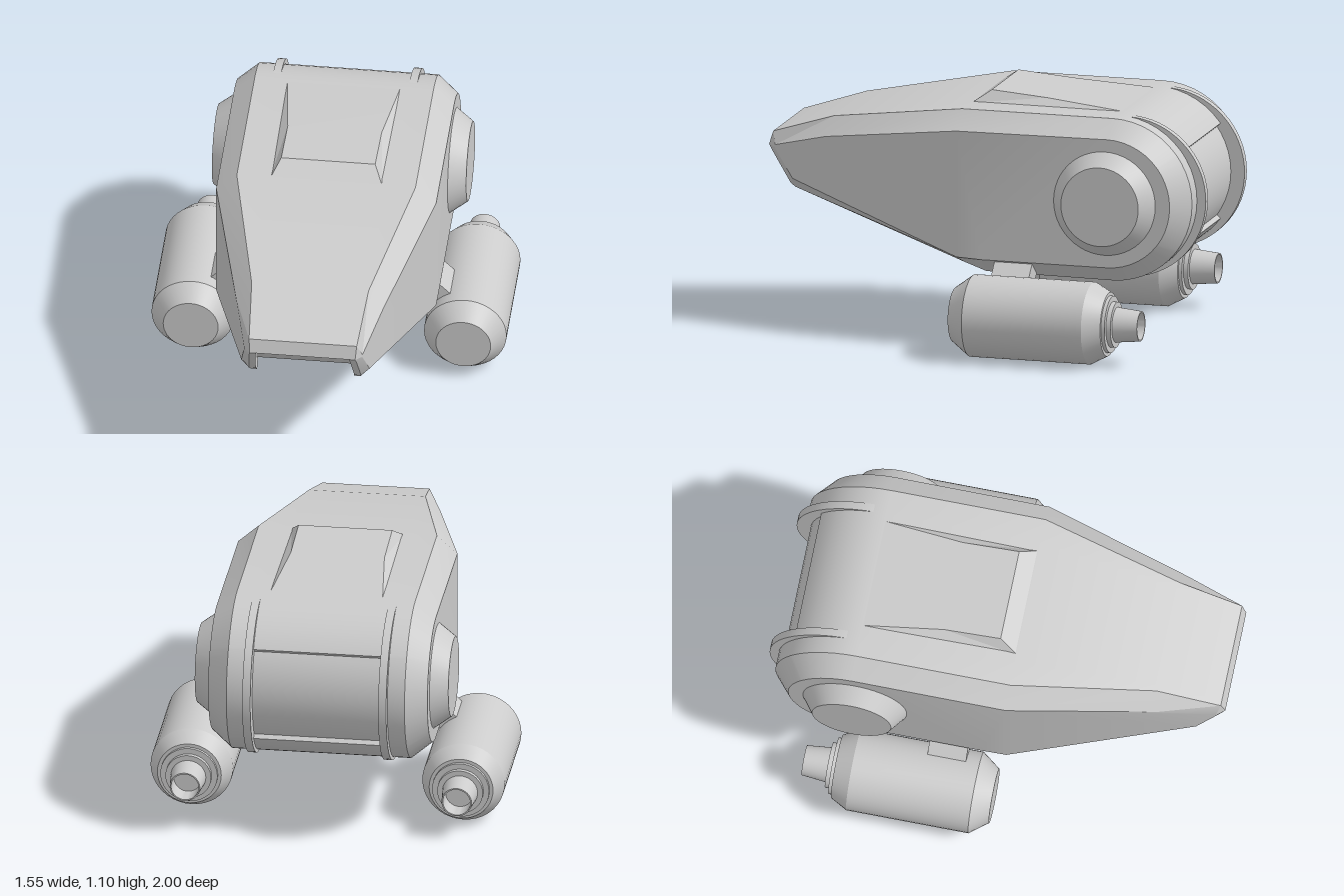
import * as THREE from 'three';
import { toCreasedNormals } from 'three/addons/utils/BufferGeometryUtils.js';

const grey = new THREE.MeshStandardMaterial({ color: 0xcccccc });

function addMesh(parent, name, geometry, crease = 0.4) {
  const mesh = new THREE.Mesh(toCreasedNormals(geometry, crease), grey);
  mesh.name = name;
  parent.add(mesh);
  return mesh;
}

function fromTriangles(points) {
  const g = new THREE.BufferGeometry();
  g.setAttribute('position', new THREE.Float32BufferAttribute(points.flat(), 3));
  return g;
}

// Outline from nose over the roof, round the tail and back along the belly.
// Each entry: outer z, y, half width; bevelled side z, y; optional recess z, y.
function hullOutline() {
  const rows = [
    [0.98, 0.86, 0.235, 0.965, 0.805],
    [0.70, 0.95, 0.255, 0.72, 0.87],
    [0.08, 1.05, 0.39, 0.08, 0.97],
  ];
  const steps = [];
  for (let i = 0; i <= 24; i++) steps.push(90 - i * 7.5);
  const edge = 36;
  steps.push(edge, edge - 0.5, -edge + 0.5, -edge);
  steps.sort((a, b) => b - a);
  for (const deg of steps) {
    const a = THREE.MathUtils.degToRad(deg);
    const at = (r) => [-0.6 - r * Math.cos(a), 0.69 + r * Math.sin(a)];
    rows.push([...at(0.36), 0.39, ...at(0.285), ...at(Math.abs(deg) < edge ? 0.338 : 0.36)]);
  }
  rows.push(
    [-0.03, 0.335, 0.39, -0.03, 0.405],
    [0.08, 0.365, 0.365, 0.08, 0.41],
    [0.88, 0.62, 0.24, 0.88, 0.665, 0.84, 0.66],
    [0.90, 0.64, 0.245, 0.89, 0.68, 0.86, 0.67],
    [0.985, 0.775, 0.235, 0.962, 0.785, 0.93, 0.77],
    [1.0, 0.80, 0.23, 0.967, 0.795],
  );
  return rows;
}

function hullGeometry() {
  const rows = hullOutline();
  const sideX = (z) => 0.48 - 0.25 * Math.max(0, z - 0.08);
  // Eight loops across the width: side, bevel, recess lip, recess, and mirrored.
  const half = [
    ([, , , z, y]) => [sideX(z), y, z],
    ([z, y, w]) => [w, y, z],
    ([z, y, w]) => [Math.min(0.28, w * 0.88), y, z],
    ([z, y, w, , , rz = z, ry = y]) => [Math.min(0.28, w * 0.88), ry, rz],
  ].map((f) => rows.map(f));
  const mirrored = half.map((loop) => loop.map(([x, y, z]) => [-x, y, z]));
  const loops = [...mirrored, ...half.slice().reverse()];
  const tris = [];
  for (let l = 0; l < loops.length - 1; l++) {
    for (let i = 0; i < rows.length; i++) {
      const j = (i + 1) % rows.length;
      const a = loops[l][i], b = loops[l + 1][i], c = loops[l + 1][j], d = loops[l][j];
      tris.push(a, b, d, b, c, d);
    }
  }
  // Flat sides: tapering front part and straight rear part
  for (const front of [true, false]) {
    const part = half[0].filter((p) => (front ? p[2] >= 0.08 : p[2] <= 0.08));
    // keep the front contour continuous: belly points follow on from the nose
    const contour = part.map((p) => new THREE.Vector2(p[2], p[1]));
    for (const f of THREE.ShapeUtils.triangulateShape(contour, [])) {
      const [p, q, r] = f.map((k) => part[k]);
      const area = (q[2] - p[2]) * (r[1] - p[1]) - (q[1] - p[1]) * (r[2] - p[2]);
      const t = area < 0 ? [p, q, r] : [p, r, q];
      tris.push(...t, ...t.slice().reverse().map(([x, y, z]) => [-x, y, z]));
    }
  }
  return fromTriangles(tris);
}

// Raised wedge on the roof
function roofGeometry() {
  const tris = [];
  const right = [[0.245, 1.045, 0.08], [0.205, 1.10, 0], [0.205, 1.08, -0.25], [0.245, 1.051, -0.6]];
  const left = right.map(([x, y, z]) => [-x, y, z]);
  for (let i = 0; i < 3; i++) {
    tris.push(left[i], right[i], right[i + 1], left[i], right[i + 1], left[i + 1]);
  }
  for (let i = 1; i < 3; i++) {
    tris.push(right[0], right[i + 1], right[i], left[0], left[i], left[i + 1]);
  }
  return fromTriangles(tris);
}

// Engine pod with stepped tail and hollow nozzle: radius, z
function podGeometry() {
  const profile = [
    [0, -0.70], [0.06, -0.70], [0.06, -0.79], [0.066, -0.79], [0.077, -0.68],
    [0.1, -0.68], [0.1, -0.66], [0.125, -0.66], [0.125, -0.645], [0.14, -0.645],
    [0.18, -0.57], [0.18, -0.03], [0.12, 0.05], [0, 0.05],
  ].map(([r, z]) => new THREE.Vector2(r, z));
  return new THREE.LatheGeometry(profile, 40).rotateX(Math.PI / 2);
}

export function createModel() {
  const model = new THREE.Group();
  model.name = 'shuttlePod';
  addMesh(model, 'hull', hullGeometry(), 0.35);
  addMesh(model, 'roofWedge', roofGeometry(), 0.1);

  for (const s of [1, -1]) {
    const side = s > 0 ? 'left' : 'right';

    // Round side housing
    const housing = new THREE.CylinderGeometry(0.175, 0.23, 0.075, 48).rotateZ(-s * Math.PI / 2);
    addMesh(model, side + 'SideHousing', housing).position.set(s * 0.5175, 0.69, -0.59);

    // Crescent rib beside the rear panel
    const rib = new THREE.CylinderGeometry(0.355, 0.355, 0.035, 64).rotateZ(Math.PI / 2);
    addMesh(model, side + 'RearRib', rib).position.set(s * 0.2975, 0.69, -0.645);

    // Engine pod and its strut
    addMesh(model, side + 'EnginePod', podGeometry()).position.set(s * 0.595, 0.182, 0);
    const strut = addMesh(model, side + 'Strut', new THREE.BoxGeometry(0.22, 0.09, 0.17));
    strut.position.set(s * 0.47, 0.335, -0.175);
    strut.rotation.z = -s * Math.PI / 4;
  }
  return model;
}
